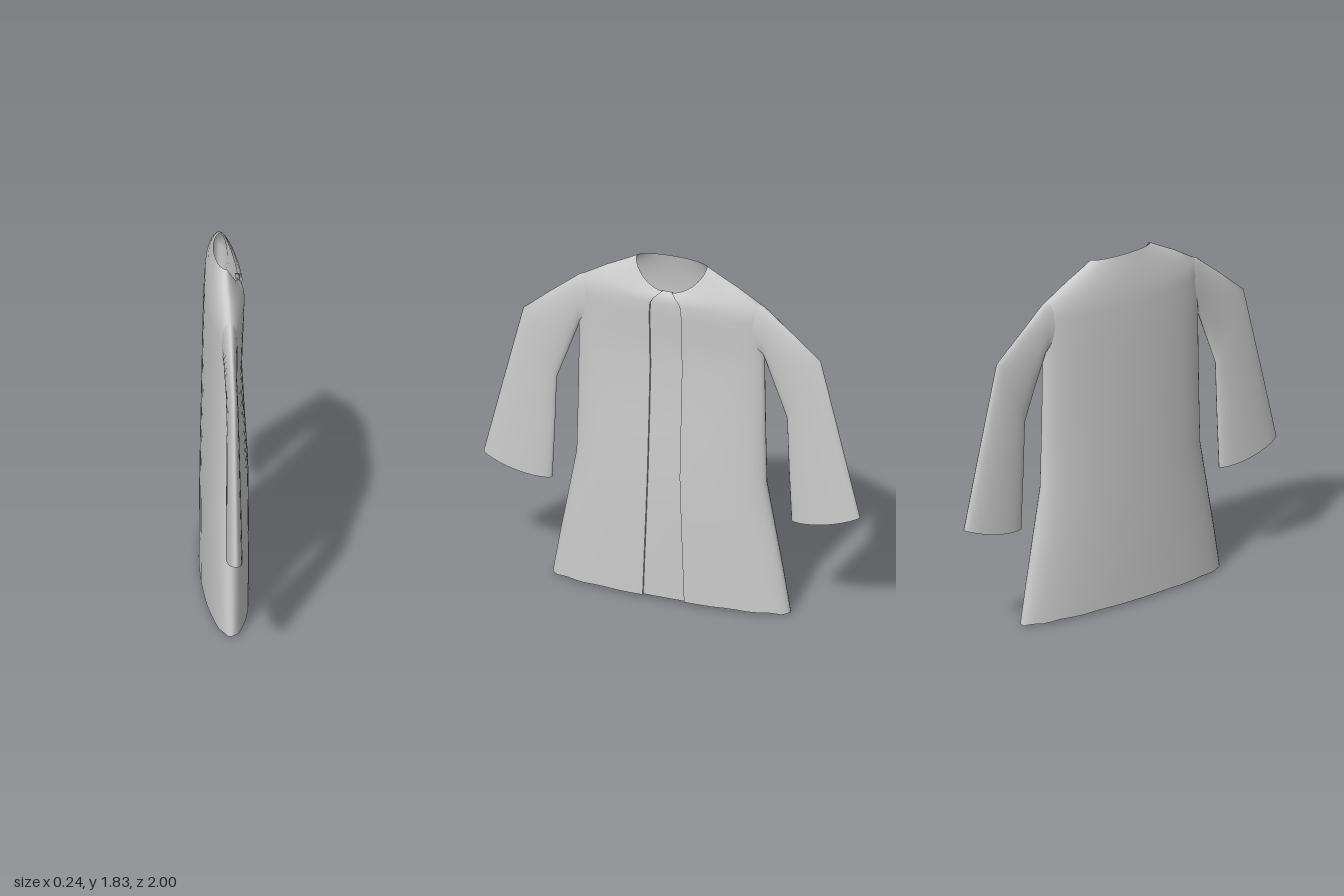
import * as THREE from 'three';
import { mergeVertices } from 'three/addons/utils/BufferGeometryUtils.js';

const material = new THREE.MeshStandardMaterial({ color: 0xcccccc, side: THREE.DoubleSide });

// Smooth sheet through rows of [x, y, z] points
function sheet(name, rows) {
  const n = rows[0].length, index = [];
  for (let j = 0; j < rows.length - 1; j++) {
    for (let i = 0; i < n - 1; i++) {
      const a = j * n + i, b = a + 1, c = a + n, d = c + 1;
      index.push(a, c, b, b, c, d);
    }
  }
  let geometry = new THREE.BufferGeometry();
  geometry.setAttribute('position', new THREE.Float32BufferAttribute(rows.flat(2), 3));
  geometry.setIndex(index);
  geometry = mergeVertices(geometry, 1e-5);
  geometry.computeVertexNormals();
  const mesh = new THREE.Mesh(geometry, material);
  mesh.name = name;
  return mesh;
}

// Torso levels: half width, front depth, back depth, heights at front / side / back,
// and half width of the front opening
const levels = [
  { w: 0.632, f: 0.118, b: 0.12, y: [0.02, 0.006, 0.015], p: 0.11 },
  { w: 0.595, f: 0.118, b: 0.12, y: [0.22, 0.22, 0.22], p: 0.103 },
  { w: 0.55, f: 0.117, b: 0.119, y: [0.46, 0.46, 0.46], p: 0.094 },
  { w: 0.505, f: 0.115, b: 0.116, y: [0.7, 0.7, 0.7], p: 0.086 },
  { w: 0.498, f: 0.097, b: 0.11, y: [1, 1, 1], p: 0.085 },
  { w: 0.494, f: 0.082, b: 0.105, y: [1.28, 1.28, 1.28], p: 0.085 },
  { w: 0.492, f: 0.088, b: 0.101, y: [1.44, 1.44, 1.44], p: 0.085 },
  { w: 0.49, f: 0.094, b: 0.096, y: [1.57, 1.6, 1.58], p: 0.085 },
  { w: 0.47, f: 0.096, b: 0.09, y: [1.63, 1.68, 1.65], p: 0.08 },
  { w: 0.35, f: 0.092, b: 0.077, y: [1.655, 1.75, 1.73], p: 0.065 },
  { w: 0.25, f: 0.084, b: 0.063, y: [1.672, 1.8, 1.79], p: 0.045 },
  { w: 0.187, f: 0.066, b: 0.052, y: [1.69, 1.832, 1.835], p: 0.025 },
];

// Point on a torso level; angle 0 is the front centre (+x)
function torsoPoint(L, angle, inset = 0) {
  const c = Math.cos(angle), s = Math.sin(angle);
  const end = c > 0 ? L.y[0] : L.y[2];
  const y = L.y[1] + (end - L.y[1]) * Math.abs(c) ** 1.3;
  return [(c > 0 ? L.f : L.b) * c - inset, y, L.w * s];
}

// Ring from one edge of the front opening round the back to the other
function torsoRing(L, ripple = 0) {
  const row = [], start = Math.asin(L.p / L.w), N = 24;
  for (let i = 0; i <= 2 * N; i++) {
    const h = (i <= N ? i : 2 * N - i) / N;
    const a = h < 0.5 ? start + (Math.PI / 2 - start) * h * 2 : Math.PI * h;
    const p = torsoPoint(L, i <= N ? a : -a);
    p[1] += ripple * Math.sin(a * 14) * Math.sin(a);
    row.push(p);
  }
  return row;
}

// Lens-like sleeve section between an outer and an inner [z, y] point
function sleeveRing([oz, oy, iz, iy, t, sag = 0]) {
  const row = [], N = 24;
  for (let i = 0; i <= N; i++) {
    const a = (i % N) / N * Math.PI * 2, c = Math.cos(a), s = Math.sin(a), k = (1 + c) / 2;
    row.push([t * s, iy + (oy - iy) * k - sag * s * s, iz + (oz - iz) * k]);
  }
  return row;
}

// Narrow lip turned in from an open edge
function lip(name, edge, [cx, cy, cz], rise) {
  const inner = edge.map(([x, y, z]) => [cx + (x - cx) * 0.86, y + rise, cz + (z - cz) * 0.975]);
  return sheet(name, [inner, edge]);
}

export function createModel() {
  const coat = new THREE.Group();
  coat.name = 'coat';

  // Body with open front
  const rings = levels.map((L, j) => torsoRing(L, j === 0 ? 0.004 : 0));
  coat.add(sheet('body', rings));
  coat.add(lip('hem', rings[0], [0, 0, 0], 0.012));

  // Recessed strip behind the front opening
  coat.add(sheet('frontPlacket', levels.map((L) => {
    const reach = Math.asin(L.p / L.w) * 1.12;
    return Array.from({ length: 9 }, (_, i) => torsoPoint(L, (i / 4 - 1) * reach, 0.012));
  })));

  // Flat edges joining the body to the strip
  for (const side of [1, -1]) {
    const rows = levels.map((L) => {
      const a = Math.asin(L.p / L.w) * side;
      return [torsoPoint(L, a, 0.012), torsoPoint(L, a)];
    });
    coat.add(sheet(side > 0 ? 'leftOpeningEdge' : 'rightOpeningEdge', rows));
  }

  // Flared sleeves
  const sections = [
    [0.4, 1.715, 0.44, 1.4, 0.042],
    [0.49, 1.672, 0.488, 1.41, 0.036],
    [0.65, 1.545, 0.555, 1.23, 0.028],
    [0.79, 1.43, 0.612, 1.08, 0.029],
    [0.9, 1.0, 0.622, 0.8, 0.035],
    [1.0, 0.6, 0.635, 0.52, 0.04, 0.016],
  ].map(sleeveRing);
  for (const side of [1, -1]) {
    const arm = new THREE.Group();
    arm.name = side > 0 ? 'leftSleeve' : 'rightSleeve';
    arm.add(sheet('sleeve', sections));
    arm.add(lip('cuff', sections[5], [0, 0.56, 0.82], 0.012));
    arm.scale.z = side;
    coat.add(arm);
  }
  return coat;
}
